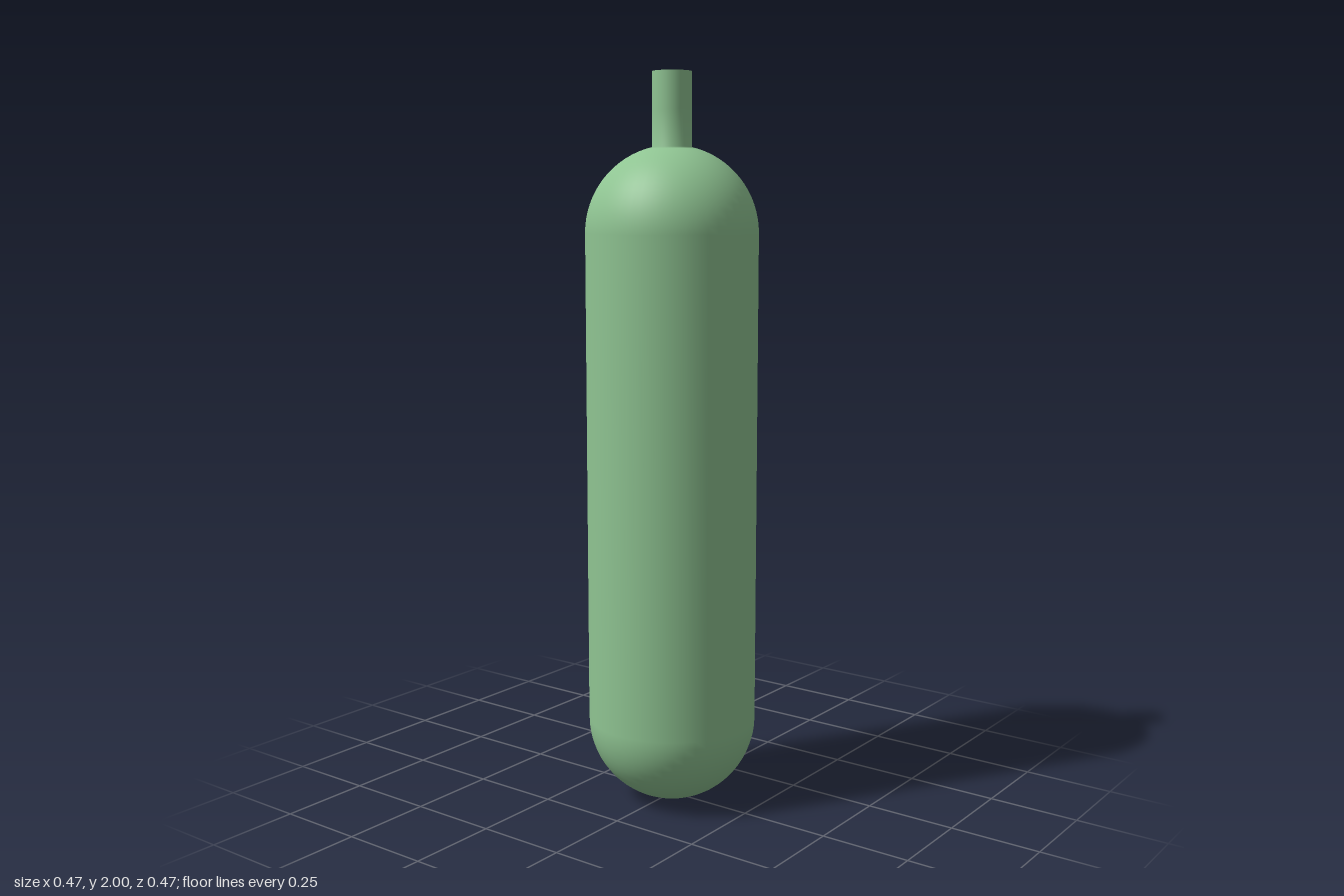
import * as THREE from 'three';

const R = 0.233;      // body radius
const NECK = 0.053;   // neck radius
const TOP = 1.81;     // height of the upper dome
const SEGMENTS = 48;

export function createModel() {
  const group = new THREE.Group();
  const material = new THREE.MeshStandardMaterial({ color: 0x8fc492 });

  // Capsule body flowing smoothly into the neck, as one lathe profile
  const profile = [];
  const steps = 16;
  for (let i = 0; i <= steps; i++) {
    const a = (i / steps) * Math.PI / 2;
    profile.push(new THREE.Vector2(R * Math.sin(a), R - R * Math.cos(a)));
  }
  const end = Math.asin(NECK / R); // the upper dome stops where the neck begins
  for (let i = 0; i <= steps; i++) {
    const a = THREE.MathUtils.lerp(Math.PI / 2, end, i / steps);
    profile.push(new THREE.Vector2(R * Math.sin(a), TOP - R + R * Math.cos(a)));
  }
  profile.push(new THREE.Vector2(NECK, 1.9), new THREE.Vector2(NECK, 2));
  const body = new THREE.Mesh(new THREE.LatheGeometry(profile, SEGMENTS), material);
  body.name = 'bodyAndNeck';
  group.add(body);

  // Flat cap with a sharp rim
  const cap = new THREE.Mesh(new THREE.CircleGeometry(NECK, SEGMENTS), material);
  cap.name = 'neckCap';
  cap.rotation.x = -Math.PI / 2;
  cap.position.y = 2;
  group.add(cap);

  return group;
}
